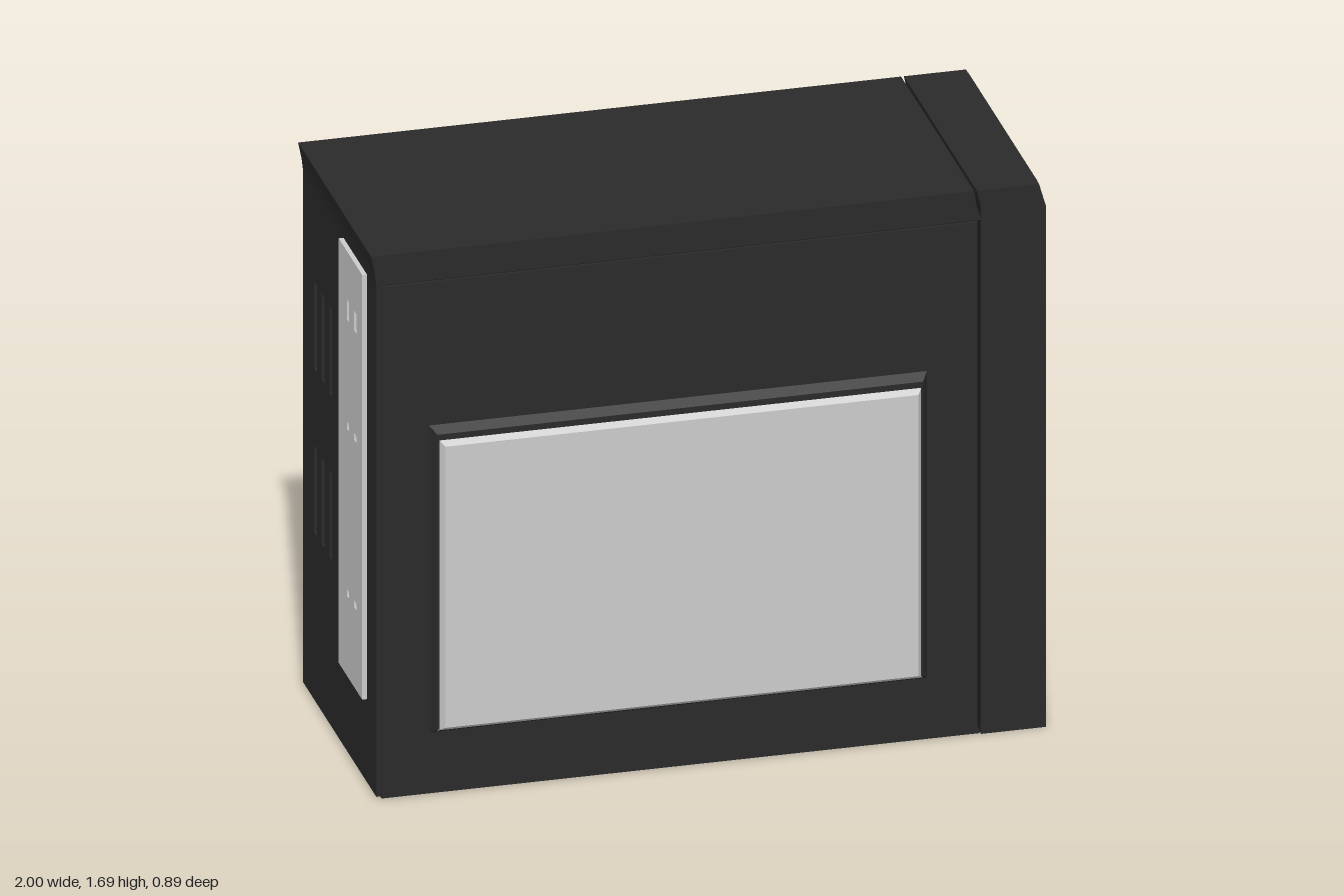
import * as THREE from 'three';

const dark = new THREE.MeshStandardMaterial({ color: 0x2a2a2a, flatShading: true });
const black = new THREE.MeshStandardMaterial({ color: 0x151515, flatShading: true });
const grey = new THREE.MeshStandardMaterial({ color: 0xcccccc, flatShading: true });
const vent = new THREE.MeshStandardMaterial({ color: 0x777777, flatShading: true });
const BACK = -0.41, FRONT = 0.4;

function createModel() {
  const model = new THREE.Group();
  model.name = 'computerCase';

  const add = (name, geometry, material = dark, parent = model) => {
    const mesh = new THREE.Mesh(geometry, material);
    mesh.name = name;
    parent.add(mesh);
    return mesh;
  };
  // box given by its limits
  const box = (name, x0, x1, y0, y1, z0, z1, material, parent) =>
    add(name, new THREE.BoxGeometry(x1 - x0, y1 - y0, z1 - z0)
      .translate((x0 + x1) / 2, (y0 + y1) / 2, (z0 + z1) / 2), material, parent);
  const shapeOf = (pts) => new THREE.Shape(pts.map(([x, y]) => new THREE.Vector2(x, y)));
  // side profile in x, y swept across z
  const profile = (name, pts, z0, z1, material) =>
    add(name, new THREE.ExtrudeGeometry(shapeOf(pts), { depth: z1 - z0, bevelEnabled: false })
      .translate(0, 0, z0), material);
  const rect = (z0, z1, y0, y1) => [[z0, y0], [z1, y0], [z1, y1], [z0, y1]];
  // rear plate in z, y with cut-outs, its outer face at x
  const rearPlate = (name, outline, holes, x, thick, material) => {
    const shape = shapeOf(outline);
    holes.forEach((h) => shape.holes.push(new THREE.Path(h.map(([a, b]) => new THREE.Vector2(a, b)))));
    add(name, new THREE.ExtrudeGeometry(shape, { depth: thick, bevelEnabled: false })
      .rotateY(-Math.PI / 2).translate(x + thick, 0, 0), material);
  };

  // main body, with a core that closes the seams
  box('body', -0.97, 0.775, 0.01, 1.592, BACK, FRONT);
  box('seamCore', -0.97, 0.9, 0.02, 1.66, BACK + 0.01, FRONT - 0.01, black);
  profile('lid', [[-0.985, 1.598], [0.785, 1.598], [0.772, 1.645], [0.765, 1.69], [-1, 1.69], [-0.99, 1.64]], BACK, FRONT);
  for (const z of [BACK, FRONT - 0.02]) box('bottomRail', -0.97, 0.78, 0.003, 0.012, z, z + 0.02);

  // rear wall with two groups of vent slots
  const slots = [];
  for (const [y0, y1] of [[0.53, 0.8], [1.04, 1.31]])
    for (const z of [-0.29, -0.205, -0.12]) slots.push(rect(z, z + 0.03, y0, y1));
  rearPlate('rearWall', rect(BACK, FRONT, 0.01, 1.598), slots, -0.985, 0.014, dark);
  const screwHoles = [];
  for (const [y, h] of [[1.41, 0.03], [1.05, 0.01], [0.53, 0.01]])
    for (const z of [0.13, 0.21]) screwHoles.push(rect(z, z + 0.025, y - h, y + h));
  rearPlate('rearPlate', rect(0.04, 0.3, 0.27, 1.59), screwHoles, -1, 0.014, grey);

  // raised side panels: a box whose outer face is drawn in
  const raised = (name, x0, x1, y0, y1, z0, z1, inset, material, parent) => {
    const mesh = box(name, x0, x1, y0, y1, z0, z1, material, parent);
    const p = mesh.geometry.attributes.position;
    const cx = (x0 + x1) / 2, cy = (y0 + y1) / 2;
    for (let i = 0; i < p.count; i++) {
      if (p.getZ(i) < (z0 + z1) / 2) continue;
      p.setX(i, p.getX(i) - Math.sign(p.getX(i) - cx) * inset);
      p.setY(i, p.getY(i) - Math.sign(p.getY(i) - cy) * inset);
    }
    mesh.geometry.computeVertexNormals();
  };
  for (const side of [1, -1]) {
    const panel = new THREE.Group();
    panel.name = side > 0 ? 'windowPanel' : 'blankPanel';
    const turn = side < 0 ? -1 : 1;
    const x0 = turn > 0 ? -0.835 : -0.63, x1 = turn > 0 ? 0.63 : 0.835;
    raised('panelFrame', x0, x1, 0.19, 1.15, 0.395, 0.428, 0.022, dark, panel);
    raised('panelFace', x0 + 0.022, x1 - 0.022, 0.205, 1.115, 0.42, 0.447, 0.018, side > 0 ? grey : dark, panel);
    if (side < 0) panel.rotation.y = Math.PI;
    model.add(panel);
  }

  // front bezel: recessed core between two cheeks
  const bezel = (x) => [[0.785, 0], [x, 0], [x, 1.62], [x - 0.02, 1.69], [0.773, 1.69], [0.785, 1.64]];
  profile('bezelCore', bezel(0.95), BACK + 0.02, FRONT - 0.02);
  profile('bezelCheek', bezel(0.975), BACK, BACK + 0.02);
  profile('bezelCheek', bezel(0.975), FRONT - 0.02, FRONT);
  box('bezelTopLip', 0.93, 0.956, 1.665, 1.69, BACK + 0.02, FRONT - 0.02);

  // bezel slats follow a bent line across the width
  const zs = [-0.388, -0.12, -0.085, 0.085, 0.12, 0.38];
  const bend = [-0.012, 0.008, 0, 0, 0.008, -0.012];
  const slat = (name, rows, bendBottom, bendTop) => {
    const n = rows.length - 1;
    const g = new THREE.BoxGeometry(1, n, 5, 1, n, 5);
    const p = g.attributes.position;
    for (let i = 0; i < p.count; i++) {
      const k = Math.round(p.getZ(i) + 2.5), r = Math.round(p.getY(i) + n / 2);
      const [y, x, bump = 0] = rows[r];
      const b = r === n ? bendTop : r === 0 ? bendBottom : bendTop;
      const out = k === 1 || k === 4 ? bump : 0;
      p.setXYZ(i, p.getX(i) > 0 ? x + out : 0.94, y + bend[k] * b, zs[k]);
    }
    g.computeVertexNormals();
    add(name, g);
  };
  const joints = [0.2, 0.383, 0.566, 0.749, 0.932, 1.115];
  joints.forEach((y, i) => {
    const low = i ? joints[i - 1] + 0.007 : 0.012;
    slat('slat', [[low, 0.968], [y - 0.035, 0.976], [y - 0.007, 0.962]], i ? 1 : 0, 1);
    // pale vent strips showing in the outer parts of each gap
    for (const s of [1, -1]) {
      const strip = box('ventStrip', 0.94, 0.957, -0.007, 0.007, -0.13, 0.13, s < 0 ? vent : black);
      strip.position.set(0, y - 0.002, s * 0.25);
      strip.rotation.x = s * 0.075;
    }
  });
  slat('gripPanel', [[1.122, 0.966], [1.26, 0.968, 0.032], [1.282, 0.966, 0.01]], 1, 0);

  // drive bay with tray and buttons
  box('driveBay', 0.94, 0.966, 1.29, 1.58, -0.388, 0.38);
  box('trayRecess', 0.95, 0.967, 1.385, 1.497, -0.365, 0.355, black);
  box('driveTray', 0.95, 0.969, 1.392, 1.49, -0.358, 0.348);
  for (const z of [-0.275, 0.265])
    for (const y of [1.345, 1.362]) box('driveButton', 0.95, 0.969, y, y + 0.007, z - 0.018, z + 0.018, black);
  box('bayLight', 0.94, 0.962, 1.582, 1.589, 0.02, 0.28, vent);

  // port strip at the top
  box('portStrip', 0.94, 0.964, 1.592, 1.645, -0.35, 0.345);
  for (const z of [-0.26, -0.07, 0.03]) box('port', 0.95, 0.966, 1.625, 1.64, z - 0.02, z + 0.02, black);

  return model;
}

export { createModel };
